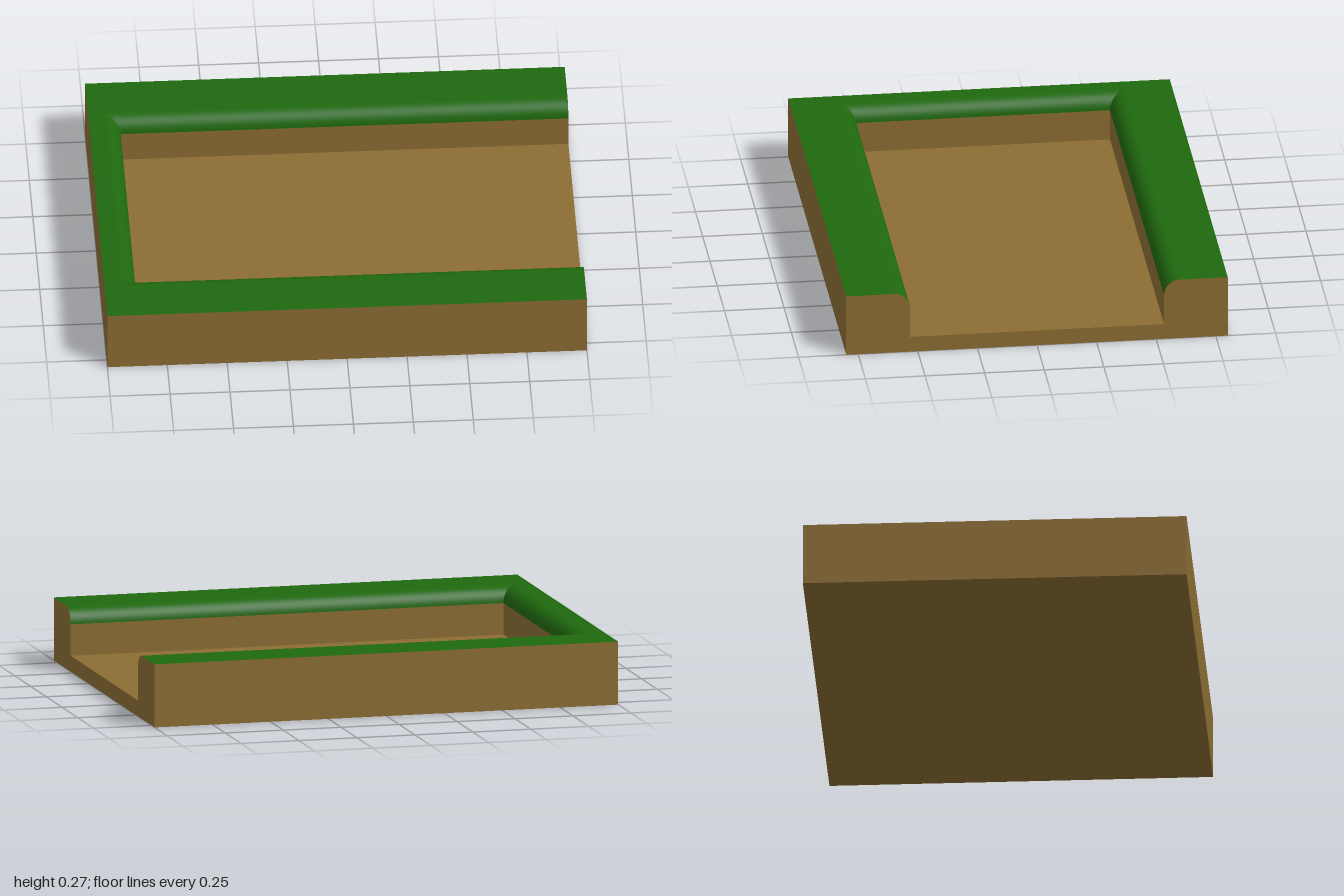
import * as THREE from 'three';

const H = 0.267, FLOOR = 0.067, LIP = 0.2, R = 0.067; // heights and rounding radius
const INX = -0.867, INZ = 0.533;                      // inner edges of the walls

const earth = new THREE.MeshStandardMaterial({ color: 0x8b6c33 });
const grass = new THREE.MeshStandardMaterial({ color: 0x1f680e });

// Skins a U-shaped wall from rows [outward x, outward z, y], with sharp mitred corners
function uStrip(rows) {
  const pos = [], index = [];
  const corners = ([dx, dz, y]) => [
    [1, y, -INZ - dz], [INX - dx, y, -INZ - dz], [INX - dx, y, INZ + dz], [1, y, INZ + dz],
  ];
  for (let s = 0; s < 3; s++) {
    const base = pos.length / 3;
    rows.forEach((row, r) => {
      const p = corners(row);
      pos.push(...p[s], ...p[s + 1]);
      if (r < rows.length - 1) {
        const a = base + 2 * r;
        index.push(a, a + 2, a + 1, a + 1, a + 2, a + 3);
      }
    });
  }
  const g = new THREE.BufferGeometry();
  g.setAttribute('position', new THREE.Float32BufferAttribute(pos, 3));
  g.setIndex(index);
  g.computeVertexNormals();
  return g;
}

export function createModel() {
  const group = new THREE.Group();
  const add = (name, geometry, material) => {
    const mesh = new THREE.Mesh(geometry, material);
    mesh.name = name;
    group.add(mesh);
  };

  // Earth walls inside and outside the U
  add('innerWalls', uStrip([[0, 0, FLOOR], [0, 0, LIP]]), earth);
  add('outerWalls', uStrip([[0.133, 0.267, H], [0.133, 0.267, 0]]), earth);

  // Grass: rounded inner lip running into the flat top
  const rows = [];
  for (let i = 0; i <= 12; i++) {
    const a = (i / 12) * Math.PI / 2;
    const d = R * (1 - Math.cos(a));
    rows.push([d, d, LIP + R * Math.sin(a)]);
  }
  rows.push([0.133, 0.267, H]);
  add('grassTop', uStrip(rows), grass);

  // Sunken floor and underside
  add('floor', new THREE.PlaneGeometry(1 - INX, 2 * INZ).rotateX(-Math.PI / 2)
    .translate((1 + INX) / 2, FLOOR, 0), earth);
  add('underside', new THREE.PlaneGeometry(2, 1.6).rotateX(Math.PI / 2), earth);

  // Open end: section through the floor and both rounded banks
  const end = new THREE.Shape();
  end.moveTo(-0.8, 0);
  end.lineTo(0.8, 0);
  end.lineTo(0.8, H);
  end.lineTo(INZ + R, H);
  end.absarc(INZ + R, LIP, R, Math.PI / 2, Math.PI, false);
  end.lineTo(INZ, FLOOR);
  end.lineTo(-INZ, FLOOR);
  end.lineTo(-INZ, LIP);
  end.absarc(-INZ - R, LIP, R, 0, Math.PI / 2, false);
  end.lineTo(-0.8, H);
  add('openEnd', new THREE.ShapeGeometry(end, 12).rotateY(Math.PI / 2).translate(1, 0, 0), earth);

  return group;
}
